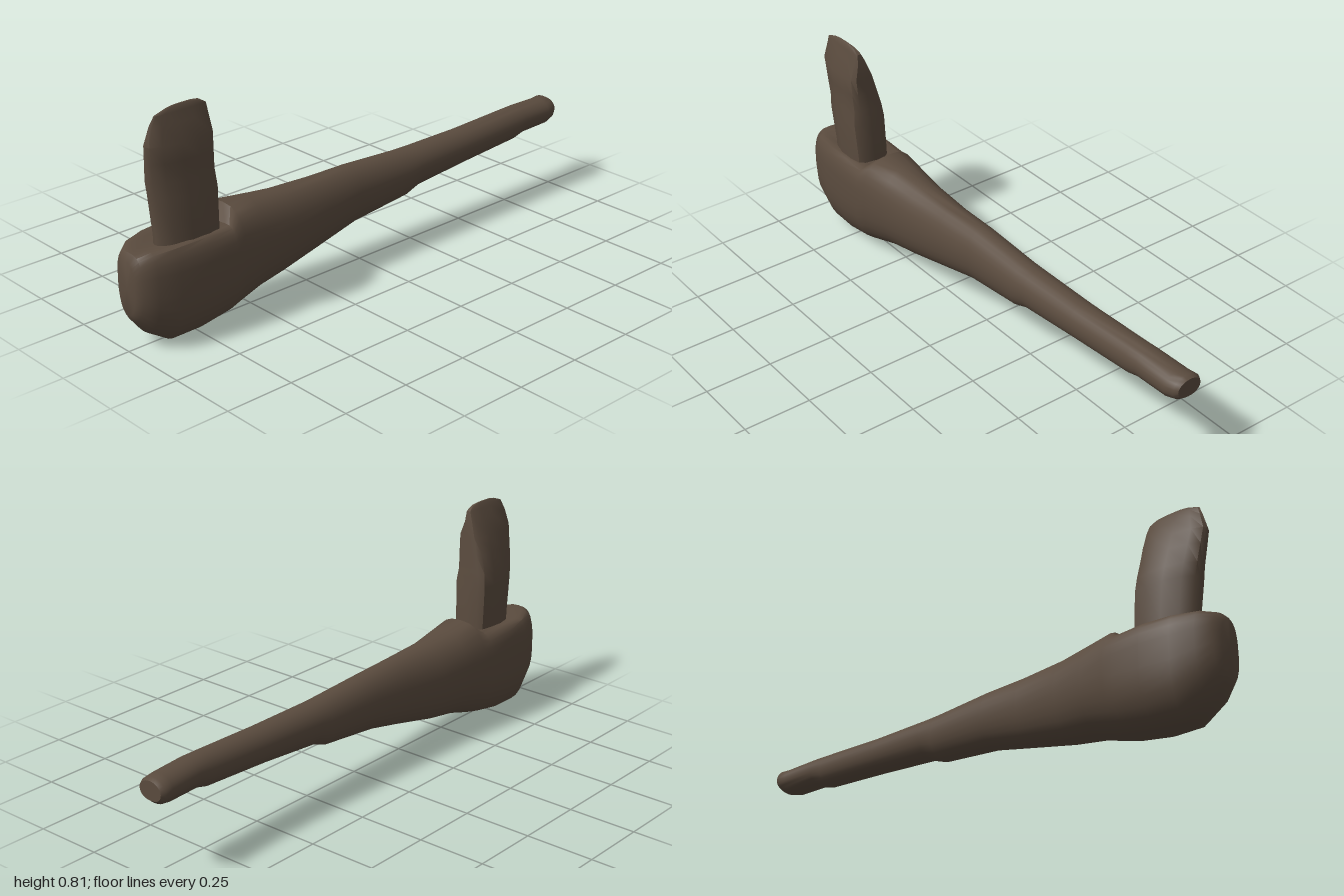
import * as THREE from 'three';
import { toCreasedNormals } from 'three/addons/utils/BufferGeometryUtils.js';

// Closed skin through equal rings of points, with a fan cap at each end.
// Rings run counter-clockwise as seen from the far end.
function loft(rings) {
  const n = rings[0].length;
  const pos = [];
  const index = [];
  rings.forEach((ring) => ring.forEach((p) => pos.push(p.x, p.y, p.z)));
  for (let i = 0; i < rings.length - 1; i++) {
    for (let j = 0; j < n; j++) {
      const a = i * n + j, b = i * n + (j + 1) % n;
      index.push(a, b, a + n, b, b + n, a + n);
    }
  }
  [0, rings.length - 1].forEach((r) => {
    const mid = new THREE.Vector3();
    rings[r].forEach((p) => mid.addScaledVector(p, 1 / n));
    const c = pos.length / 3;
    pos.push(mid.x, mid.y, mid.z);
    for (let j = 0; j < n; j++) {
      const a = r * n + j, b = r * n + (j + 1) % n;
      if (r === 0) index.push(c, b, a);
      else index.push(c, a, b);
    }
  });
  const g = new THREE.BufferGeometry();
  g.setAttribute('position', new THREE.Float32BufferAttribute(pos, 3));
  g.setIndex(index);
  return toCreasedNormals(g, 0.75);
}

const power = (v, p) => Math.sign(v) * Math.abs(v) ** p;

// Handle sections: x, bottom, top, back z, front z, squareness of top, hollow depth
const handleSections = [
  [-1.0, 0.14, 0.33, -0.035, 0.05, 0.8, 0],
  [-0.985, 0.115, 0.355, -0.06, 0.075, 0.65, 0],
  [-0.94, 0.06, 0.372, -0.095, 0.098, 0.55, 0.015],
  [-0.86, 0.008, 0.377, -0.122, 0.11, 0.5, 0.035],
  [-0.75, 0.012, 0.382, -0.13, 0.12, 0.5, 0.035],
  [-0.64, 0.032, 0.378, -0.13, 0.122, 0.52, 0.02],
  [-0.6, 0.042, 0.408, -0.126, 0.117, 0.75, 0],
  [-0.5, 0.072, 0.398, -0.118, 0.105, 0.85, 0],
  [-0.38, 0.09, 0.386, -0.106, 0.088, 0.95, 0],
  [-0.2, 0.13, 0.38, -0.09, 0.072, 1, 0],
  [-0.04, 0.165, 0.376, -0.086, 0.06, 1, 0],
  [0.2, 0.19, 0.362, -0.08, 0.055, 1, 0],
  [0.26, 0.212, 0.36, -0.078, 0.052, 1, 0],
  [0.5, 0.232, 0.36, -0.074, 0.046, 1, 0],
  [0.77, 0.248, 0.368, -0.074, 0.038, 1, 0],
  [0.82, 0.262, 0.368, -0.075, 0.037, 1, 0],
  [0.95, 0.264, 0.361, -0.084, 0.034, 1, 0],
  [0.985, 0.272, 0.36, -0.088, 0.026, 1, 0],
  [1.0, 0.285, 0.352, -0.078, 0.016, 1, 0],
];

function handleRing([x, bottom, top, back, front, square, hollow]) {
  const n = 28, ring = [];
  for (let j = 0; j < n; j++) {
    const a = (j / n) * Math.PI * 2;
    const p = Math.cos(a) > 0 ? square : 0.9;
    const u = power(Math.cos(a), p), v = power(Math.sin(a), p);
    const y = (bottom + top) / 2 + u * (top - bottom) / 2;
    // The socket around the blade is pressed slightly into the top
    const dip = u > 0 ? hollow * Math.max(0, 1 - (v / 0.75) ** 2) : 0;
    ring.push(new THREE.Vector3(x, y - dip, (back + front) / 2 + v * (front - back) / 2));
  }
  return ring;
}

// Blade sections: y, left-hand x, right-hand x, back z, front z
const bladeSections = [
  [0.2, -0.88, -0.665, -0.055, 0.08],
  [0.38, -0.885, -0.665, -0.056, 0.082],
  [0.52, -0.902, -0.672, -0.055, 0.09],
  [0.57, -0.91, -0.677, -0.048, 0.083],
  [0.64, -0.918, -0.682, -0.03, 0.085],
  [0.7, -0.925, -0.685, -0.014, 0.085],
  [0.76, -0.908, -0.69, 0.012, 0.062],
  [0.795, -0.893, -0.696, 0.03, 0.055],
  [0.81, -0.85, -0.72, 0.038, 0.05],
  [0.815, -0.82, -0.75, 0.042, 0.046],
];
// Blade outline, blunt on one edge and narrow on the other: (x, z) within -1..1
const bladeOutline = [
  [1, 0], [1, 0.62], [0.88, 0.9], [0.45, 1], [-0.1, 0.97], [-0.65, 0.7], [-0.95, 0.32],
  [-1, 0], [-0.95, -0.32], [-0.65, -0.7], [-0.1, -0.97], [0.45, -1], [0.88, -0.9], [1, -0.62],
].reverse();

function bladeRing([y, x0, x1, z0, z1]) {
  return bladeOutline.map(([u, v]) => new THREE.Vector3(
    (x0 + x1) / 2 + u * (x1 - x0) / 2, y, (z0 + z1) / 2 + v * (z1 - z0) / 2));
}

export function createModel() {
  const group = new THREE.Group();
  group.name = 'axe';
  const brown = new THREE.MeshStandardMaterial({ color: 0x5a4b3e });
  brown.name = 'dark brown';

  const handle = new THREE.Mesh(loft(handleSections.map(handleRing)), brown);
  handle.name = 'handle';
  const blade = new THREE.Mesh(loft(bladeSections.map(bladeRing)), brown);
  blade.name = 'blade';
  group.add(handle, blade);
  return group;
}
